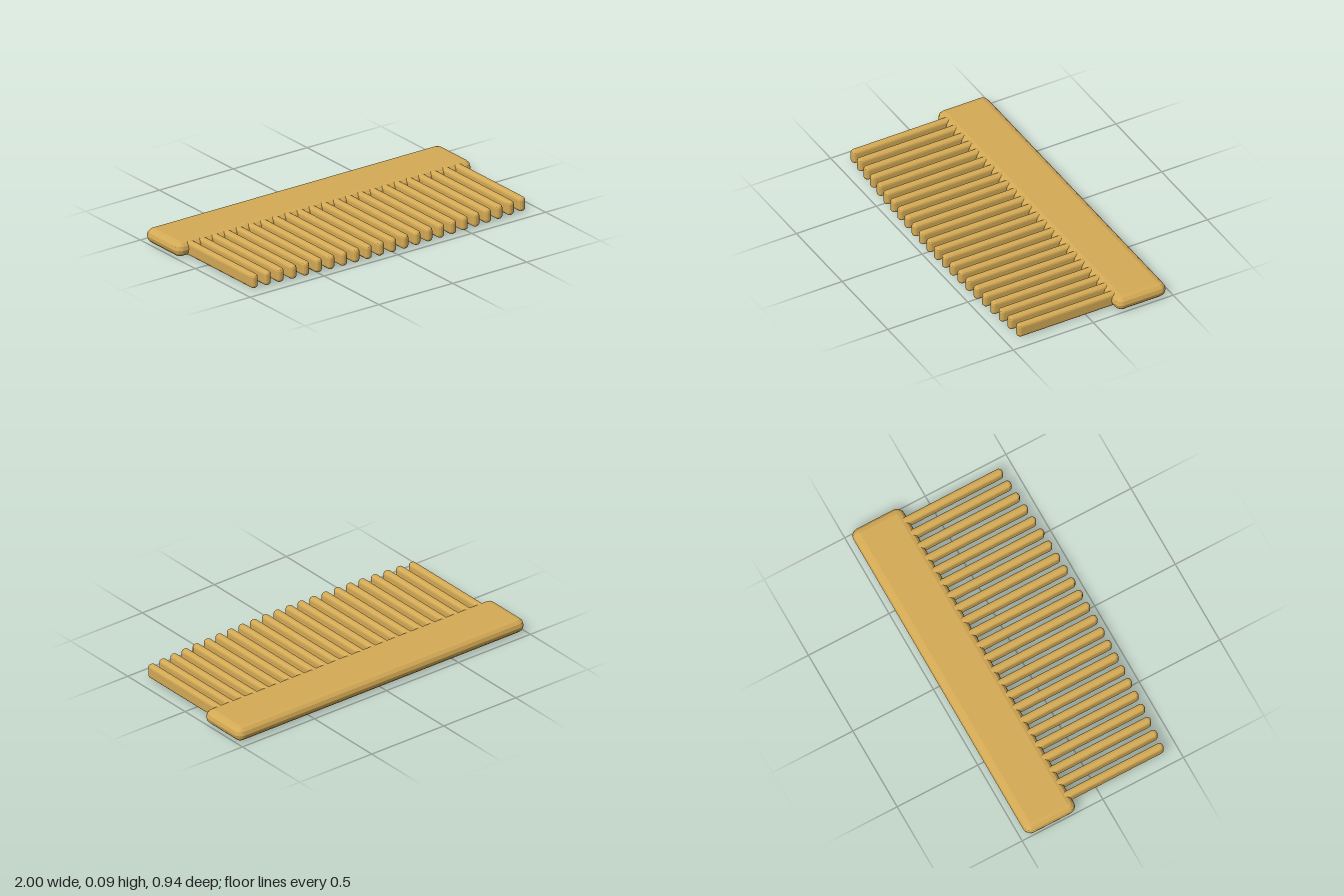
import * as THREE from 'three';

// Flat bar lying in the xz plane with fully rounded edges.
function roundedBar(width, height, length, bevel, bevelSegments) {
  const corner = 0.004;
  const x = width / 2 - bevel, z = length / 2 - bevel;
  const s = new THREE.Shape();
  s.moveTo(-x + corner, -z);
  s.lineTo(x - corner, -z);
  s.quadraticCurveTo(x, -z, x, -z + corner);
  s.lineTo(x, z - corner);
  s.quadraticCurveTo(x, z, x - corner, z);
  s.lineTo(-x + corner, z);
  s.quadraticCurveTo(-x, z, -x, z - corner);
  s.lineTo(-x, -z + corner);
  s.quadraticCurveTo(-x, -z, -x + corner, -z);
  const depth = height - 2 * bevel;
  const geo = new THREE.ExtrudeGeometry(s, {
    depth, curveSegments: 4, bevelEnabled: true,
    bevelThickness: bevel, bevelSize: bevel, bevelSegments,
  });
  geo.translate(0, 0, -depth / 2);
  geo.rotateX(-Math.PI / 2);
  return geo;
}

export function createModel() {
  const comb = new THREE.Group();
  comb.name = 'comb';
  const wood = new THREE.MeshStandardMaterial({ color: 0xd4aa55 });
  wood.name = 'honey wood';
  const midY = 0.0425;

  // Spine along the back
  const spine = new THREE.Mesh(roundedBar(2, 0.085, 0.315, 0.042, 3), wood);
  spine.name = 'spine';
  spine.position.set(0, midY, -0.3125);
  comb.add(spine);

  // Teeth, longest in the middle and following a shallow arc
  const teeth = new THREE.Group();
  teeth.name = 'teeth';
  const count = 23, reach = 0.905, root = -0.2;
  for (let i = 0; i < count; i++) {
    const t = (i / (count - 1)) * 2 - 1;
    const tip = 0.468 - 0.043 * t * t;
    const tooth = new THREE.Mesh(roundedBar(0.045, 0.082, tip - root, 0.018, 3), wood);
    tooth.name = 'tooth' + (i + 1);
    tooth.position.set(t * reach, midY, (tip + root) / 2);
    teeth.add(tooth);
  }
  comb.add(teeth);
  return comb;
}
